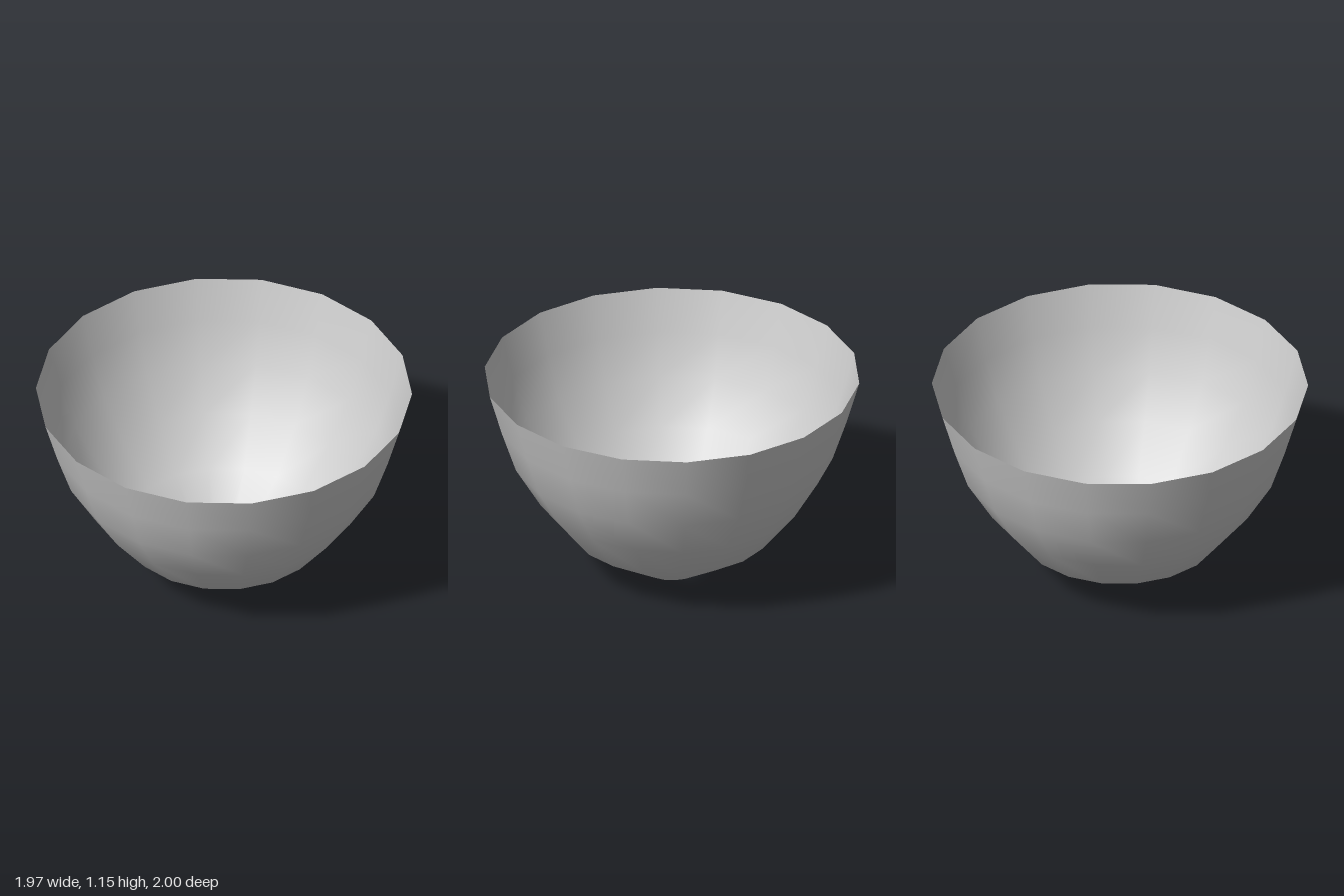
import * as THREE from 'three';

export function createModel() {
  const group = new THREE.Group();
  group.name = 'bowl';

  // Open thin shell, 18 sided, with a round hole in the base
  const radii = [0.16, 0.537, 0.72, 0.857, 0.934, 1];
  const height = 1.148;
  const profile = radii.map((r, i) => new THREE.Vector2(r, (height * i) / (radii.length - 1)));

  const shell = new THREE.Mesh(
    new THREE.LatheGeometry(profile, 18),
    new THREE.MeshStandardMaterial({ color: 0xcccccc, side: THREE.DoubleSide })
  );
  shell.name = 'bowlShell';
  group.add(shell);
  return group;
}
